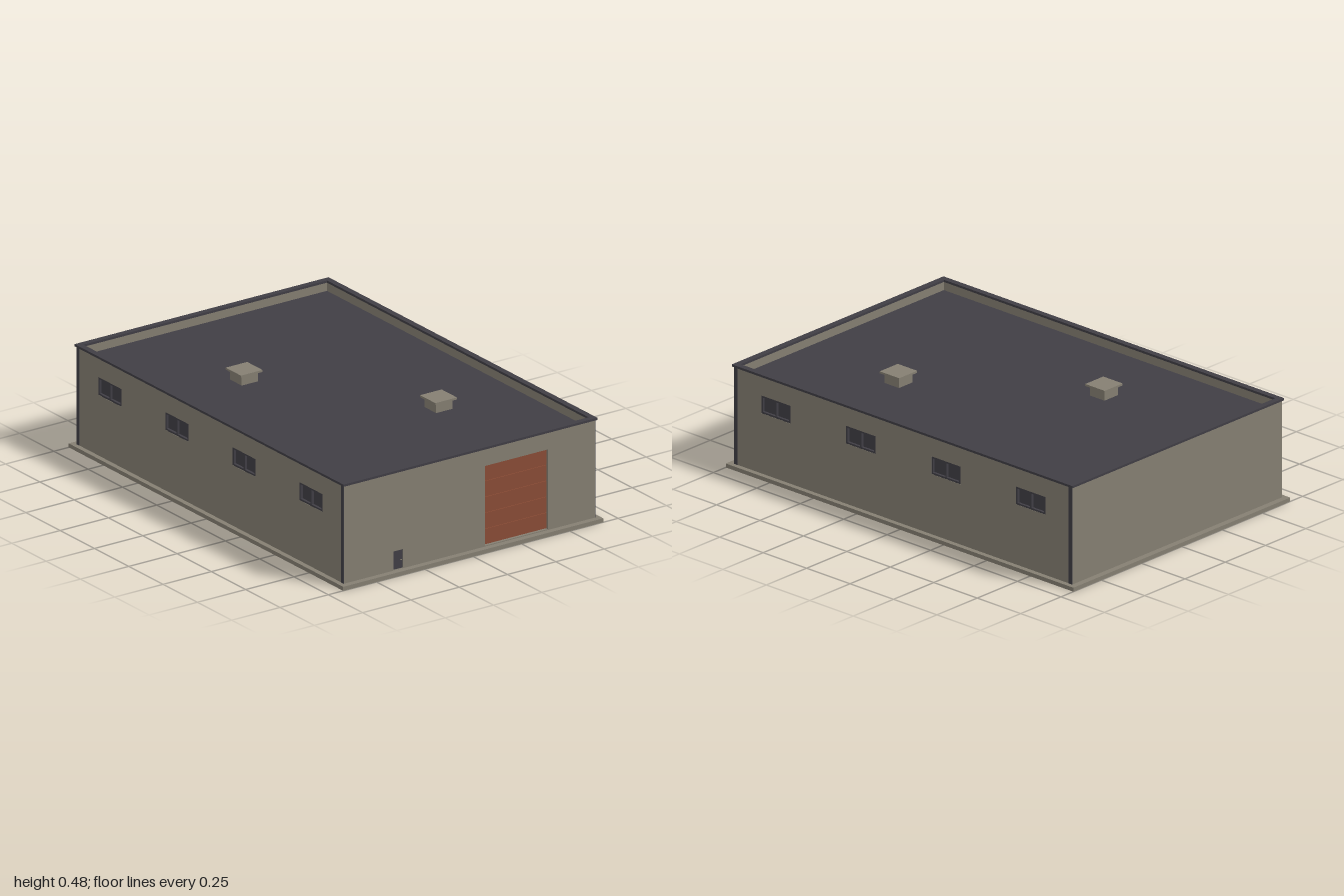
import * as THREE from 'three';

const mat = (name, color) => {
  const m = new THREE.MeshStandardMaterial({ color });
  m.name = name;
  return m;
};

export function createModel() {
  const concrete = mat('concrete', 0x857f72);
  const dark = mat('charcoal', 0x403e45);
  const rust = mat('rust', 0x8a4c36);

  const model = new THREE.Group();
  model.name = 'warehouse';

  const box = (parent, name, material, w, h, d, x, y, z) => {
    const mesh = new THREE.Mesh(new THREE.BoxGeometry(w, h, d), material);
    mesh.name = name;
    mesh.position.set(x, y, z);
    parent.add(mesh);
    return mesh;
  };

  const X = 0.65, Z = 0.973;          // outer wall faces
  const T = 0.02;                     // wall thickness
  const BASE = 0.018, TOP = 0.462;    // wall bottom and top
  const ROOF = 0.425;

  // Wall panel facing +z with rectangular openings [x0, x1, y0, y1]
  const wall = (name, width, openings) => {
    const shape = new THREE.Shape([
      new THREE.Vector2(-width / 2, BASE), new THREE.Vector2(width / 2, BASE),
      new THREE.Vector2(width / 2, TOP), new THREE.Vector2(-width / 2, TOP),
    ]);
    for (const [a, b, c, d] of openings) {
      shape.holes.push(new THREE.Path([
        new THREE.Vector2(a, c), new THREE.Vector2(a, d),
        new THREE.Vector2(b, d), new THREE.Vector2(b, c),
      ]));
    }
    const geometry = new THREE.ExtrudeGeometry(shape, { depth: T, bevelEnabled: false });
    geometry.translate(0, 0, -T);
    const mesh = new THREE.Mesh(geometry, concrete);
    mesh.name = name;
    return mesh;
  };

  // Foundation slab and roof deck
  box(model, 'foundation', concrete, 1.346, BASE, 2, 0, BASE / 2, 0);
  box(model, 'roofDeck', dark, 2 * (X - T), 0.02, 2 * (Z - T), 0, ROOF - 0.01, 0);

  // Front wall with its two doors
  const front = new THREE.Group();
  front.name = 'front';
  front.position.z = Z;
  const gate = [0.08, 0.405, 0.022, 0.384];
  const entry = [-0.394, -0.343, 0.019, 0.105];
  front.add(wall('frontWall', 2 * X, [gate, entry]));

  // Sectional door: backing plus horizontal panels
  const gateW = gate[1] - gate[0], gateH = gate[3] - gate[2], gateX = (gate[0] + gate[1]) / 2;
  box(front, 'gateBacking', rust, gateW, gateH, 0.006, gateX, gate[2] + gateH / 2, -0.017);
  const panels = 5, step = gateH / panels;
  for (let i = 0; i < panels; i++) {
    box(front, 'gatePanel', rust, gateW, step - 0.003, 0.004,
      gateX, gate[2] + step * (i + 0.5), -0.012);
  }

  // Small entry door and handle
  box(front, 'entryDoor', dark, 0.051, 0.086, 0.01, -0.3685, 0.062, -0.011);
  box(front, 'doorHandle', concrete, 0.005, 0.004, 0.005, -0.352, 0.058, -0.004);
  model.add(front);

  // Back wall
  const back = wall('backWall', 2 * X, []);
  back.position.z = -Z;
  back.rotation.y = Math.PI;
  model.add(back);

  // Side walls with four windows and corner trims each
  const centres = [-0.733, -0.245, 0.245, 0.733];
  const W = 0.168, Y0 = 0.293, Y1 = 0.374, YM = (Y0 + Y1) / 2;
  for (const s of [1, -1]) {
    const side = new THREE.Group();
    side.name = s > 0 ? 'leftSide' : 'rightSide';
    side.position.x = s * X;
    side.rotation.y = s * Math.PI / 2;
    side.add(wall('sideWall', 2 * (Z - T),
      centres.map((c) => [c - W / 2, c + W / 2, Y0, Y1])));
    for (const c of centres) {
      box(side, 'windowPane', dark, W, Y1 - Y0, 0.006, c, YM, -0.015);
      for (const e of [-1, 0, 1]) {
        box(side, 'windowUpright', dark, 0.008, Y1 - Y0, 0.012, c + e * (W / 2 - 0.004), YM, -0.007);
      }
      for (const y of [Y0 + 0.004, Y1 - 0.004]) {
        box(side, 'windowRail', dark, W, 0.008, 0.012, c, y, -0.007);
      }
    }
    for (const e of [-1, 1]) {
      box(side, 'cornerTrim', dark, T, TOP - BASE, 0.002, e * (Z - T / 2), (TOP + BASE) / 2, 0.001);
    }
    model.add(side);
  }

  // Parapet coping
  const capX = 0.657, capZ = 0.98, capW = 0.027, capH = 0.01;
  for (const s of [1, -1]) {
    box(model, 'copingSide', dark, capW, capH, 2 * (capZ - capW), s * (capX - capW / 2), TOP + capH / 2, 0);
    box(model, 'copingEnd', dark, 2 * capX, capH, capW, 0, TOP + capH / 2, s * (capZ - capW / 2));
  }

  // Roof vents
  for (const [x, z] of [[-0.245, -0.325], [0.243, 0.405]]) {
    const vent = new THREE.Group();
    vent.name = 'roofVent';
    vent.position.set(x, ROOF, z);
    box(vent, 'ventBody', concrete, 0.084, 0.044, 0.084, 0, 0.022, 0);
    box(vent, 'ventCap', concrete, 0.112, 0.009, 0.112, 0, 0.0485, 0);
    model.add(vent);
  }

  return model;
}
